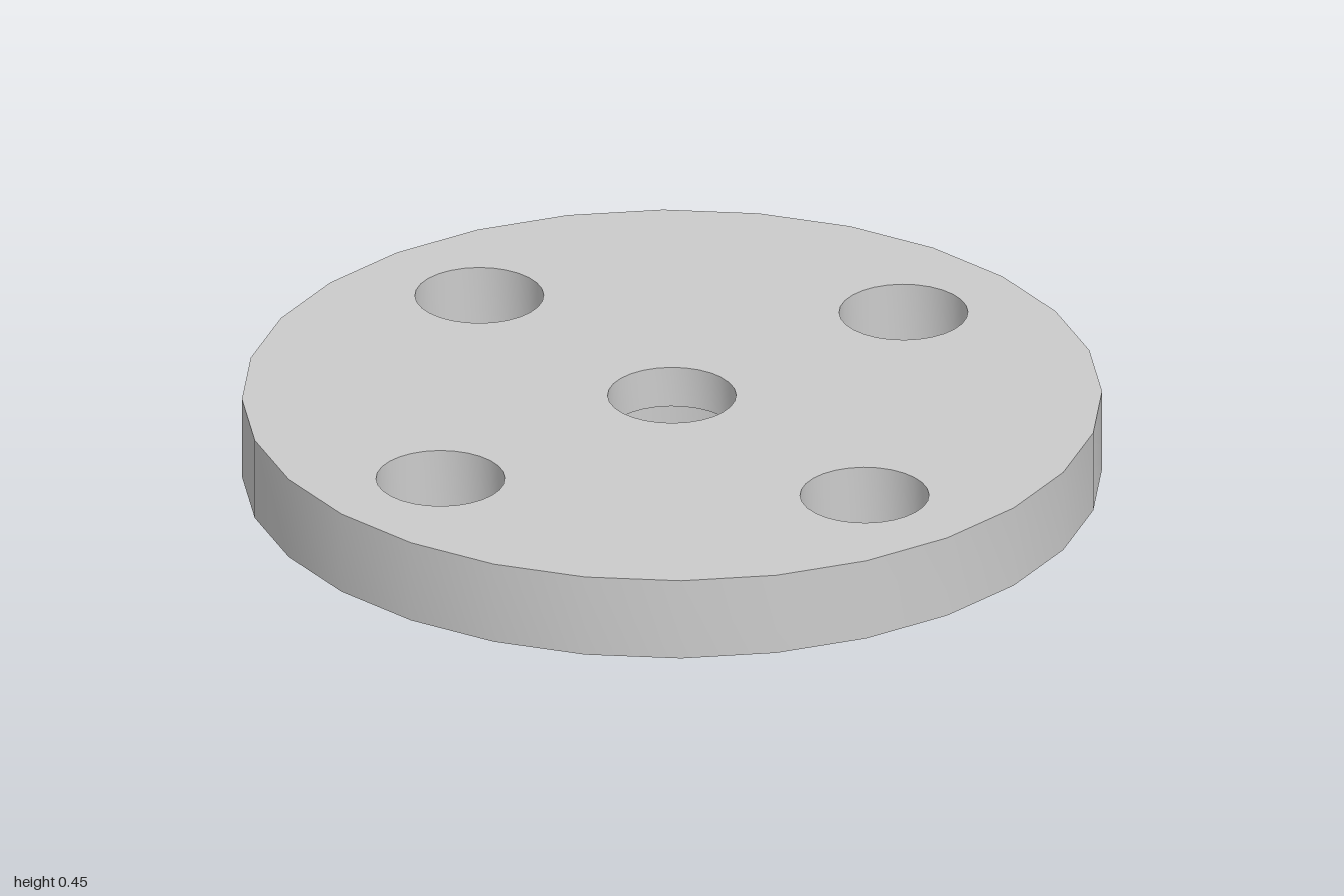
import * as THREE from 'three';
import { toCreasedNormals } from 'three/addons/utils/BufferGeometryUtils.js';

const SIDES = 28;
const TOP = 0.45, UNDER = 0.25;   // plate faces
const BOLT_R = 0.15, BOLT_CIRCLE = 0.7;
const boltCentres = [[BOLT_CIRCLE, 0], [0, BOLT_CIRCLE], [-BOLT_CIRCLE, 0], [0, -BOLT_CIRCLE]];

// Polygonal circle whose corners match those of the turned surfaces
function ring(radius, cx = 0, cy = 0) {
  return Array.from({ length: SIDES }, (_, i) => {
    const a = (i / SIDES) * Math.PI * 2;
    return new THREE.Vector2(cx + radius * Math.cos(a), cy + radius * Math.sin(a));
  });
}

// Surface of revolution with sharp profile corners
function turned(profile) {
  const points = profile.map(([r, y]) => new THREE.Vector2(r, y));
  return toCreasedNormals(new THREE.LatheGeometry(points, SIDES), Math.PI / 6);
}

// Flat disc face with a centre opening and four bolt openings
function plateFace(innerRadius, y, up) {
  const shape = new THREE.Shape(ring(1));
  shape.holes.push(new THREE.Path(ring(innerRadius)));
  for (const [x, z] of boltCentres) shape.holes.push(new THREE.Path(ring(BOLT_R, x, z)));
  return new THREE.ShapeGeometry(shape).rotateX(up ? -Math.PI / 2 : Math.PI / 2).translate(0, y, 0);
}

export function createModel() {
  const model = new THREE.Group();
  model.name = 'flange';
  const material = new THREE.MeshStandardMaterial({ color: 0xcccccc });
  const add = (name, geometry, parent = model) => {
    const mesh = new THREE.Mesh(geometry, material);
    mesh.name = name;
    parent.add(mesh);
    return mesh;
  };

  // Round plate
  const plate = new THREE.Group();
  plate.name = 'plate';
  model.add(plate);
  add('plateTop', plateFace(0.15, TOP, true), plate);
  add('plateUnderside', plateFace(0.45, UNDER, false), plate);
  add('plateRim', turned([[1, UNDER], [1, TOP]]), plate);

  // Bolt hole walls
  const wall = turned([[BOLT_R, TOP], [BOLT_R, UNDER]]);
  for (const [x, z] of boltCentres) add('boltHole', wall, plate).position.set(x, 0, z);

  // Hub with stepped bore and chamfered mouth
  add('hub', turned([
    [0.15, TOP], [0.15, 0.35], [0.3, 0.35], [0.3, 0.05],
    [0.35, 0], [0.45, 0], [0.45, UNDER],
  ]));

  return model;
}
